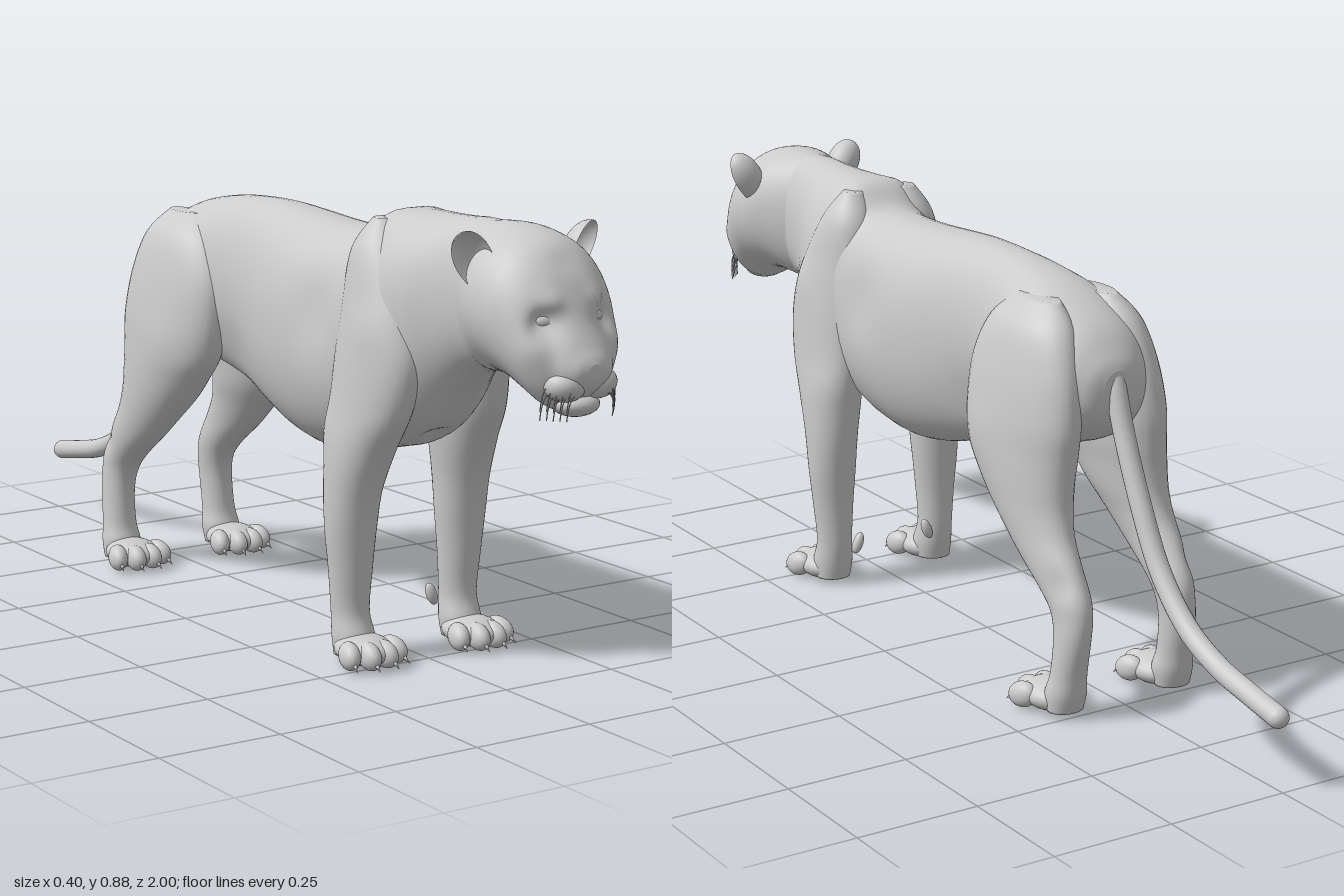
import * as THREE from 'three';

const material = new THREE.MeshStandardMaterial({ color: 0xcccccc, roughness: 0.8 });
const thinMaterial = new THREE.MeshStandardMaterial({ color: 0xcccccc, roughness: 0.8, side: THREE.DoubleSide });

function add(parent, name, geometry, mat = material) {
  const mesh = new THREE.Mesh(geometry, mat);
  mesh.name = name;
  parent.add(mesh);
  return mesh;
}

// Smoothly interpolates the rows of a section table
function sample(rows, t) {
  const f = t * (rows.length - 1), i = Math.min(Math.floor(f), rows.length - 2), u = f - i;
  const at = k => rows[Math.max(0, Math.min(rows.length - 1, k))];
  return rows[0].map((_, c) => {
    const p0 = at(i - 1)[c], p1 = at(i)[c], p2 = at(i + 1)[c], p3 = at(i + 2)[c];
    return p1 + 0.5 * u * (p2 - p0 + u * (2 * p0 - 5 * p1 + 4 * p2 - p3 + u * (3 * (p1 - p2) + p3 - p0)));
  });
}

// Closed skin through rounded cross-sections; place(row, cos, sin) gives a point
function loft(rows, place, steps = 64, sides = 40, roundness = 1) {
  const positions = [], index = [];
  const soft = v => Math.sign(v) * Math.abs(v) ** roundness;
  for (let i = -1; i <= steps + 1; i++) {
    const row = sample(rows, Math.max(0, Math.min(1, i / steps)));
    const size = i < 0 || i > steps ? 0 : 1;
    for (let j = 0; j < sides; j++) {
      const a = (j / sides) * Math.PI * 2;
      positions.push(...place(row, soft(Math.cos(a)) * size, soft(Math.sin(a)) * size));
    }
  }
  for (let i = 0; i < steps + 2; i++) {
    for (let j = 0; j < sides; j++) {
      const a = i * sides + j, b = i * sides + (j + 1) % sides;
      index.push(a, b, a + sides, b, b + sides, a + sides);
    }
  }
  const geometry = new THREE.BufferGeometry();
  geometry.setAttribute('position', new THREE.Float32BufferAttribute(positions, 3));
  geometry.setIndex(index);
  geometry.computeVertexNormals();
  return geometry;
}

// Pushes the skin softly around points [x, y, z, radius, dx, dy, dz], on both sides
function sculpt(geometry, dents) {
  const p = geometry.attributes.position;
  for (const [x, y, z, r, dx, dy, dz] of dents) {
    for (const s of x === 0 ? [1] : [1, -1]) {
      for (let i = 0; i < p.count; i++) {
        const d2 = (p.getX(i) - s * x) ** 2 + (p.getY(i) - y) ** 2 + (p.getZ(i) - z) ** 2;
        const w = Math.exp(-d2 / (r * r));
        p.setXYZ(i, p.getX(i) + s * dx * w, p.getY(i) + dy * w, p.getZ(i) + dz * w);
      }
    }
  }
  geometry.computeVertexNormals();
  return geometry;
}

function ellipsoid(x, y, z, rx, ry, rz) {
  return new THREE.SphereGeometry(1, 24, 16).scale(rx, ry, rz).translate(x, y, z);
}

// Section [z, top, bottom, halfWidth] and section [y, xIn, xOut, zBack, zFront]
const alongZ = ([z, top, bottom, w], c, s) => [w * c, (top + bottom) / 2 + s * (top - bottom) / 2, z];
const alongY = side => ([y, x0, x1, z0, z1], c, s) =>
  [side * (x0 + x1) / 2 + c * (x1 - x0) / 2, y, (z0 + z1) / 2 + s * (z1 - z0) / 2];

const TORSO = [
  [-0.465, 0.67, 0.6, 0.03], [-0.45, 0.7, 0.56, 0.07], [-0.4, 0.755, 0.52, 0.11], [-0.3, 0.805, 0.49, 0.13],
  [-0.2, 0.827, 0.475, 0.115], [-0.1, 0.836, 0.45, 0.105], [0, 0.838, 0.415, 0.115], [0.1, 0.832, 0.385, 0.132],
  [0.2, 0.825, 0.37, 0.142], [0.3, 0.823, 0.378, 0.142], [0.37, 0.83, 0.395, 0.14], [0.43, 0.868, 0.41, 0.14],
  [0.5, 0.877, 0.43, 0.135], [0.56, 0.878, 0.475, 0.118], [0.62, 0.88, 0.545, 0.095], [0.68, 0.883, 0.595, 0.084],
  [0.76, 0.878, 0.615, 0.085],
];
const HEAD = [
  [0.67, 0.875, 0.61, 0.07], [0.72, 0.884, 0.605, 0.1], [0.78, 0.886, 0.61, 0.129], [0.84, 0.876, 0.6, 0.132],
  [0.88, 0.857, 0.582, 0.124], [0.915, 0.82, 0.565, 0.109], [0.94, 0.772, 0.568, 0.09], [0.96, 0.728, 0.59, 0.068],
  [0.98, 0.692, 0.605, 0.052], [0.993, 0.672, 0.62, 0.035], [0.999, 0.66, 0.635, 0.015],
];
const FORELEG = [
  [0.86, 0.04, 0.085, 0.41, 0.45], [0.8, 0.02, 0.125, 0.37, 0.5], [0.7, 0.02, 0.147, 0.355, 0.56],
  [0.6, 0.03, 0.163, 0.35, 0.585], [0.5, 0.05, 0.172, 0.352, 0.565], [0.42, 0.06, 0.18, 0.355, 0.52],
  [0.34, 0.072, 0.182, 0.362, 0.485], [0.26, 0.078, 0.18, 0.37, 0.468], [0.18, 0.085, 0.172, 0.376, 0.46],
  [0.1, 0.09, 0.165, 0.378, 0.455], [0.05, 0.085, 0.168, 0.383, 0.47], [0.015, 0.09, 0.165, 0.39, 0.46],
];
const HINDLEG = [
  [0.79, 0.04, 0.09, -0.35, -0.23], [0.74, 0.02, 0.135, -0.405, -0.165], [0.66, 0.02, 0.16, -0.44, -0.125],
  [0.57, 0.025, 0.174, -0.455, -0.12], [0.5, 0.03, 0.178, -0.45, -0.135], [0.45, 0.04, 0.178, -0.447, -0.17],
  [0.4, 0.05, 0.175, -0.45, -0.215], [0.35, 0.065, 0.17, -0.467, -0.27], [0.3, 0.075, 0.165, -0.5, -0.33],
  [0.25, 0.08, 0.16, -0.53, -0.4], [0.21, 0.085, 0.156, -0.54, -0.44], [0.16, 0.09, 0.158, -0.538, -0.455],
  [0.09, 0.09, 0.162, -0.525, -0.452], [0.05, 0.085, 0.168, -0.52, -0.44], [0.015, 0.09, 0.165, -0.51, -0.45],
];

// Paw with four spread toes and short claws; z is the heel
function buildPaw(name, side, z) {
  const paw = new THREE.Group();
  paw.name = name;
  add(paw, 'pad', ellipsoid(side * 0.127, 0.032, z + 0.07, 0.055, 0.03, 0.068));
  [[0.078, 0.108], [0.11, 0.128], [0.146, 0.128], [0.177, 0.106]].forEach(([x, dz]) => {
    const splay = (x - 0.127) * side * 5;
    const toe = add(paw, 'toe', ellipsoid(0, 0, 0, 0.02, 0.026, 0.034));
    toe.position.set(side * x, 0.031, z + dz - 0.012);
    toe.rotation.set(0.25, splay, 0);
    const claw = add(paw, 'claw', new THREE.ConeGeometry(0.007, 0.03, 8).rotateX(Math.PI / 2 + 0.6));
    claw.position.set(side * x + splay * 0.03, 0.018, z + dz + 0.02);
    claw.rotation.y = splay;
  });
  return paw;
}

// Cupped ear, open to the front and outside
function buildEar(side) {
  const geometry = new THREE.SphereGeometry(1, 28, 14, 0, Math.PI * 2, 0, Math.PI / 2).rotateX(-Math.PI / 2);
  const p = geometry.attributes.position;
  for (let i = 0; i < p.count; i++) p.setX(i, p.getX(i) * (0.88 + 0.12 * p.getY(i)));
  geometry.scale(0.04, 0.062, 0.04).rotateY(side * 0.45).rotateZ(-side * 0.5);
  geometry.translate(side * 0.121, 0.826, 0.8);
  geometry.computeVertexNormals();
  return geometry;
}

function buildHead() {
  const head = new THREE.Group();
  head.name = 'head';
  add(head, 'skull', sculpt(loft(HEAD, alongZ, 80, 56), [
    [0.064, 0.728, 0.94, 0.03, 0, 0, -0.022],
    [0.05, 0.765, 0.93, 0.022, 0, 0, 0.008],
    [0.085, 0.68, 0.92, 0.03, 0.003, 0, 0.006],
    [0, 0.83, 0.91, 0.03, 0, 0, -0.005],
  ]));
  add(head, 'nose', ellipsoid(0, 0.651, 0.977, 0.03, 0.017, 0.022));
  add(head, 'chin', ellipsoid(0, 0.581, 0.942, 0.046, 0.023, 0.04));
  for (const side of [1, -1]) {
    add(head, 'muzzlePad', ellipsoid(side * 0.034, 0.62, 0.954, 0.041, 0.031, 0.038));
    add(head, 'ear', buildEar(side), thinMaterial);
    const eye = add(head, 'eye', ellipsoid(0, 0, 0, 0.024, 0.015, 0.015));
    const lid = add(head, 'eyelid', new THREE.TorusGeometry(0.023, 0.004, 8, 28).scale(1, 0.66, 1));
    eye.position.set(side * 0.056, 0.731, 0.916);
    lid.position.set(side * 0.056, 0.731, 0.92);
    for (const part of [eye, lid]) part.rotation.set(-0.25, side * 0.45, side * 0.12);
    for (let k = 0; k < 10; k++) {
      const x = 0.035 + (k % 5) * 0.008, y = 0.605 + (k > 4 ? 0.016 : 0), z = 0.985 - (k % 5) * 0.009;
      const curve = new THREE.QuadraticBezierCurve3(new THREE.Vector3(side * x, y, z),
        new THREE.Vector3(side * (x + 0.018), y - 0.005, z + 0.006),
        new THREE.Vector3(side * (x + 0.016), y - 0.045, z - 0.002));
      add(head, 'whisker', new THREE.TubeGeometry(curve, 8, 0.0011, 5), thinMaterial);
    }
  }
  return head;
}

export function createModel() {
  const cat = new THREE.Group();
  cat.name = 'bigCat';

  // Trunk and neck, with shoulder blades, waist and flanks shaped in
  add(cat, 'torso', sculpt(loft(TORSO, alongZ, 110, 56, 0.92), [
    [0.06, 0.86, 0.43, 0.05, 0.004, 0.01, 0],
    [0.13, 0.66, 0.29, 0.07, -0.012, 0, 0],
    [0.11, 0.52, -0.08, 0.08, -0.012, 0, 0],
    [0, 0.44, 0.52, 0.03, 0, 0.015, -0.01],
  ]));
  cat.add(buildHead());

  // Legs and paws
  for (const side of [1, -1]) {
    add(cat, 'foreLeg', sculpt(loft(FORELEG, alongY(side), 80, 40), [
      [0.16, 0.46, 0.38, 0.05, 0.004, 0, -0.004],
      [0.15, 0.66, 0.5, 0.05, 0.005, 0, 0],
    ]));
    add(cat, 'hindLeg', sculpt(loft(HINDLEG, alongY(side), 80, 40), [
      [0.165, 0.52, -0.22, 0.07, 0.005, 0, 0],
      [0.15, 0.27, -0.49, 0.03, -0.006, 0, 0],
    ]));
    const dewclaw = add(cat, 'dewclaw', ellipsoid(0, 0, 0, 0.011, 0.024, 0.012));
    dewclaw.position.set(side * 0.087, 0.092, 0.385);
    dewclaw.rotation.z = side * 0.35;
    cat.add(buildPaw('forePaw', side, 0.395), buildPaw('hindPaw', side, -0.5));
  }

  // Tail sweeping down and back
  const path = new THREE.CatmullRomCurve3([
    [0.7, -0.42], [0.64, -0.452], [0.55, -0.485], [0.42, -0.545], [0.31, -0.61],
    [0.225, -0.7], [0.18, -0.8], [0.158, -0.9], [0.143, -0.98],
  ].map(([y, z]) => new THREE.Vector3(0, y, z)));
  const tail = new THREE.TubeGeometry(path, 60, 0.021, 20);
  add(cat, 'tail', tail);
  add(cat, 'tailTip', ellipsoid(0, 0.143, -0.979, 0.021, 0.0205, 0.021));
  return cat;
}
